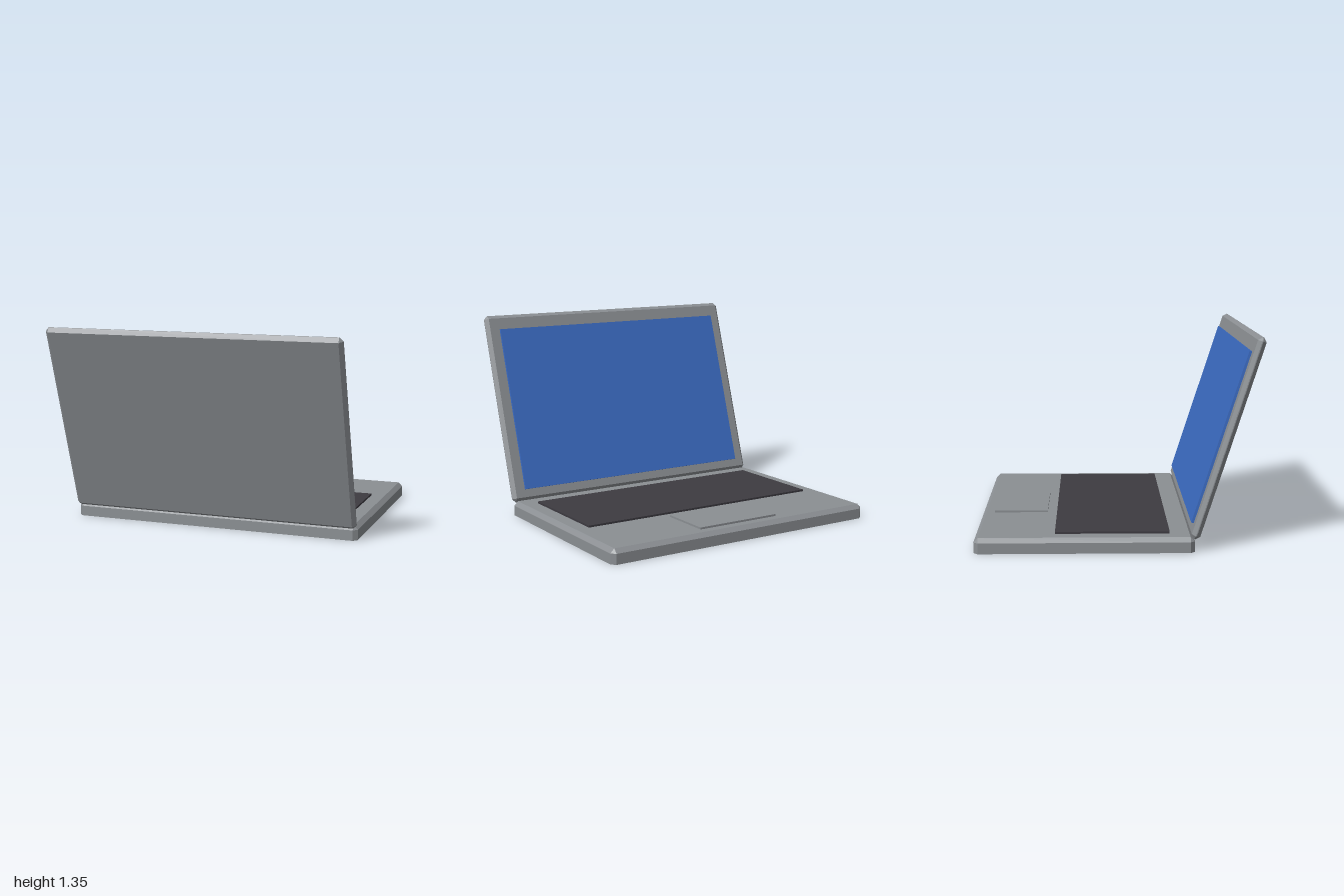
import * as THREE from 'three';
import { ConvexGeometry } from 'three/addons/geometries/ConvexGeometry.js';

// Box with every edge chamfered by b; flatBottom leaves the lower edges square.
function chamferedBox(w, h, d, b, flatBottom = false) {
  const points = [];
  for (const sx of [-1, 1]) for (const sy of [-1, 1]) for (const sz of [-1, 1]) {
    const x = w / 2, y = h / 2, z = d / 2;
    const add = (px, py, pz) => points.push(new THREE.Vector3(sx * px, sy * py, sz * pz));
    const square = flatBottom && sy < 0;
    const sideY = square ? y : y - b;
    add(x, sideY, z - b);
    add(x - b, sideY, z);
    if (!square) add(x - b, y, z - b);
  }
  return new ConvexGeometry(points);
}

export function createModel() {
  const casing = new THREE.MeshStandardMaterial({ name: 'grey casing', color: 0x8b8f93 });
  const keys = new THREE.MeshStandardMaterial({ name: 'dark keys', color: 0x3d3b41 });
  const glass = new THREE.MeshStandardMaterial({ name: 'blue screen', color: 0x3b6cc4 });

  const model = new THREE.Group();
  model.name = 'laptop';
  const addPart = (parent, name, geometry, material, x, y, z) => {
    const mesh = new THREE.Mesh(geometry, material);
    mesh.name = name;
    mesh.position.set(x, y, z);
    parent.add(mesh);
  };

  // Base, with keyboard and touchpad raised slightly above its top
  const baseHeight = 0.097;
  addPart(model, 'base', chamferedBox(2, baseHeight, 1.393, 0.028, true), casing, 0, baseHeight / 2, -0.2135);
  addPart(model, 'keyboard', new THREE.BoxGeometry(1.76, 0.02, 0.73), keys, 0, 0.1, -0.036);
  addPart(model, 'touchpad', new THREE.BoxGeometry(0.605, 0.02, 0.36), casing, 0, 0.1, -0.646);

  // Open lid leaning towards +z, its screen facing the keyboard
  const lid = new THREE.Group();
  lid.name = 'lid';
  lid.position.set(0, 0.718, 0.685);
  lid.rotation.x = 0.311;
  addPart(lid, 'lidShell', chamferedBox(2, 1.335, 0.056, 0.025), casing, 0, 0, 0);
  addPart(lid, 'screen', new THREE.BoxGeometry(1.81, 1.147, 0.02), glass, 0, -0.0135, -0.0345);
  model.add(lid);

  return model;
}
